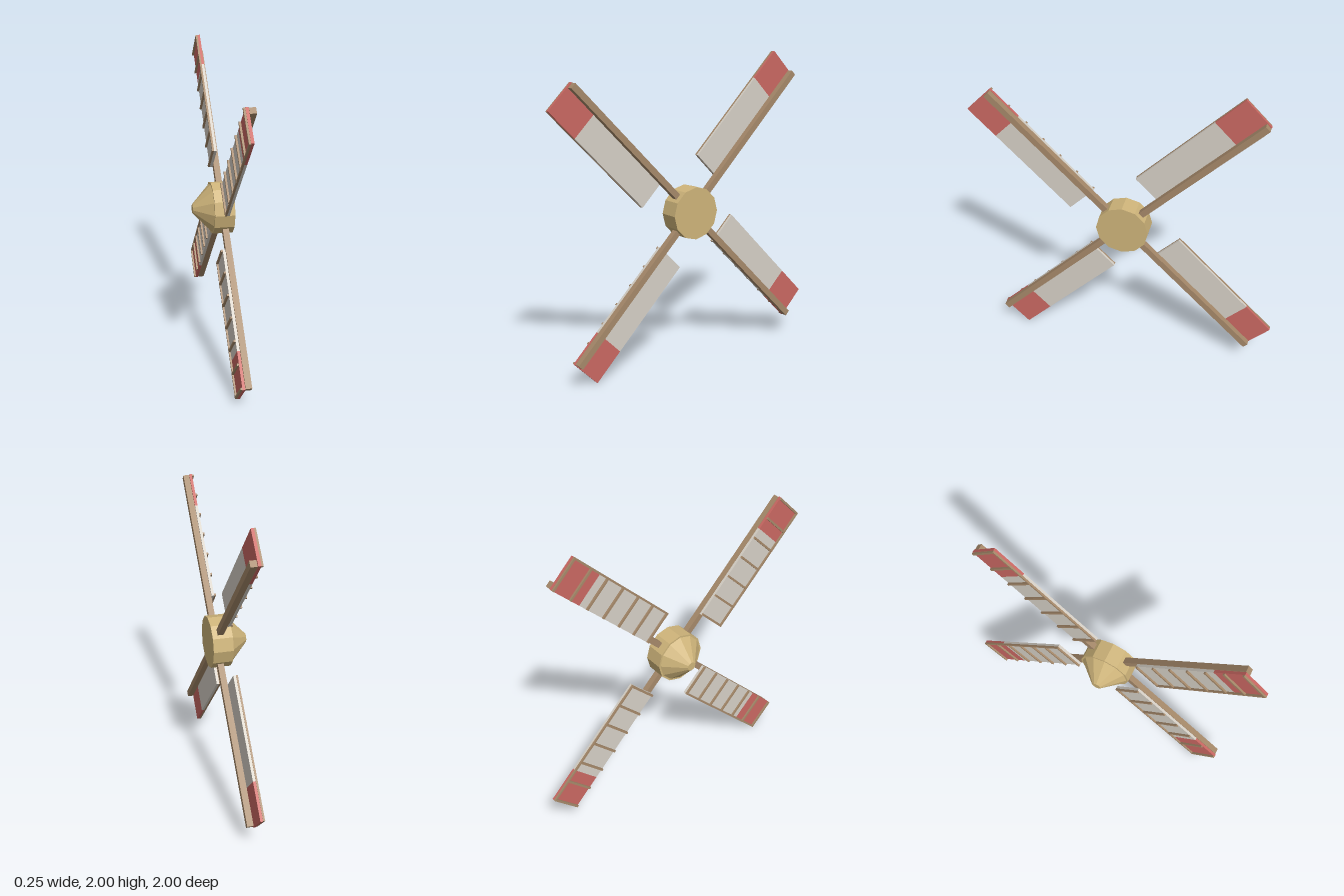
import * as THREE from 'three';

const material = (name, color) => {
  const m = new THREE.MeshStandardMaterial({ color, flatShading: true });
  m.name = name;
  return m;
};

export function createModel() {
  const brass = material('hub tan', 0xceb47a);
  const wood = material('wood brown', 0xa6896a);
  const cloth = material('sail cloth', 0xd6d0c6);
  const red = material('sail red', 0xca6862);

  const model = new THREE.Group();
  model.name = 'windmillRotor';
  const rotor = new THREE.Group();
  rotor.name = 'rotor';
  rotor.position.y = 1;
  model.add(rotor);

  const add = (parent, name, geometry, mat) => {
    const mesh = new THREE.Mesh(geometry, mat);
    mesh.name = name;
    parent.add(mesh);
    return mesh;
  };
  // Box given by its lower and upper limits on each axis
  const box = (parent, name, mat, [x0, x1], [y0, y1], [z0, z1]) => {
    const g = new THREE.BoxGeometry(x1 - x0, y1 - y0, z1 - z0);
    g.translate((x0 + x1) / 2, (y0 + y1) / 2, (z0 + z1) / 2);
    return add(parent, name, g, mat);
  };
  // Twelve-sided drum or cone along the x axis
  const drum = (name, x0, x1, r0, r1) => {
    const g = new THREE.CylinderGeometry(r1, r0, x1 - x0, 12);
    g.rotateZ(-Math.PI / 2).translate((x0 + x1) / 2, 0, 0);
    return add(rotor, name, g, brass);
  };

  // Hub and nose cone
  drum('hub', -0.006, 0.124, 0.17, 0.17);
  drum('noseCone', -0.126, -0.006, 0.03, 0.158);

  // Four blades: spar, two-colour sail, edge rail and cross battens
  for (let i = 0; i < 4; i++) {
    const blade = new THREE.Group();
    blade.name = 'blade';
    blade.rotation.x = Math.PI / 4 + (i * Math.PI) / 2;
    rotor.add(blade);

    box(blade, 'spar', wood, [0.05, 0.09], [0, 1.205], [-0.02, 0.02]);
    box(blade, 'sail', cloth, [0.03, 0.048], [0.305, 0.97], [-0.02, 0.203]);
    box(blade, 'sailTip', red, [0.03, 0.048], [0.97, 1.21], [-0.02, 0.203]);
    box(blade, 'edgeRail', wood, [0.019, 0.031], [0.305, 1.208], [0.193, 0.205]);
    for (let k = 0; k < 7; k++) {
      const y = 0.313 + k * 0.148;
      box(blade, 'batten', wood, [0.018, 0.03], [y - 0.007, y + 0.007], [-0.02, 0.204]);
    }
  }
  return model;
}
